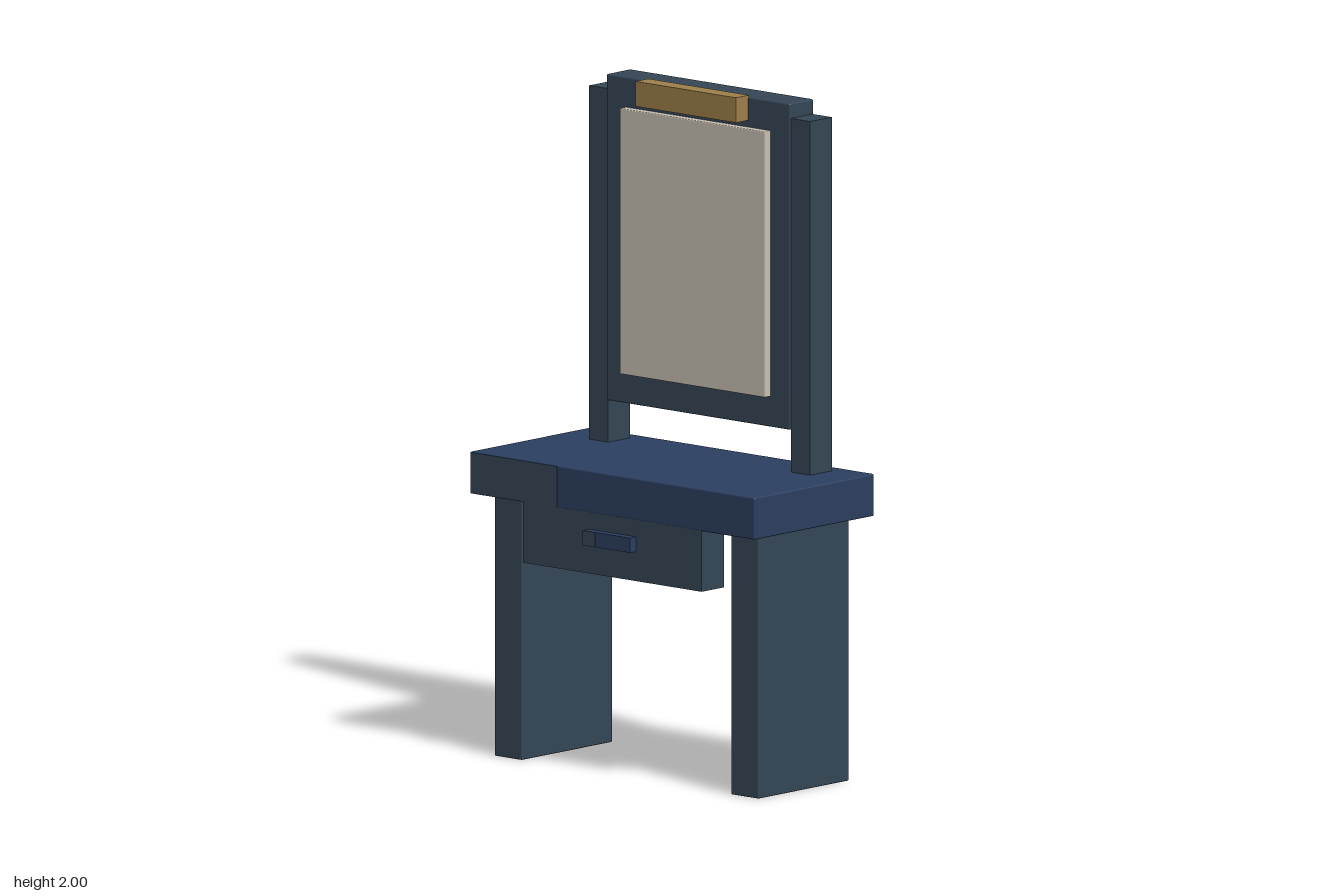
import * as THREE from 'three';
import { RoundedBoxGeometry } from 'three/addons/geometries/RoundedBoxGeometry.js';

function material(name, color) {
  const m = new THREE.MeshStandardMaterial({ color });
  m.name = name;
  return m;
}

export function createModel() {
  const group = new THREE.Group();
  const slate = material('slate', 0x354656);
  const navy = material('navy', 0x2c3f61);
  const cream = material('cream', 0xc9c1b3);
  const gold = material('gold', 0x9f804b);

  // Box given by its limits on each axis, with an optional softened edge
  function box(name, mat, [x0, x1], [y0, y1], [z0, z1], bevel = 0) {
    const size = [x1 - x0, y1 - y0, z1 - z0];
    const geometry = bevel
      ? new RoundedBoxGeometry(...size, 2, bevel)
      : new THREE.BoxGeometry(...size);
    const mesh = new THREE.Mesh(geometry, mat);
    mesh.name = name;
    mesh.position.set((x0 + x1) / 2, (y0 + y1) / 2, (z0 + z1) / 2);
    group.add(mesh);
  }

  // Table top, with the darker section at one end of its front edge
  box('tableTop', navy, [-0.558, 0.556], [0.779, 0.904], [-0.273, 0.248], 0.005);
  box('frontEdgePanel', slate, [-0.556, -0.217], [0.781, 0.902], [0.246, 0.25]);

  // Slab legs and mirror posts on both sides
  for (const [side, s] of [['left', 1], ['right', -1]]) {
    const span = (a, b) => (s > 0 ? [a, b] : [-b, -a]);
    box(side + 'Leg', slate, span(0.41, 0.517), [0, 0.781], [-0.205, 0.188], 0.003);
    box(side + 'Post', slate, span(0.358, 0.433), [0.766, 1.951], [-0.225, -0.13]);
  }

  // Drawer and its handle
  box('drawer', slate, [-0.352, 0.348], [0.6, 0.785], [0.15, 0.247]);
  box('handle', navy, [-0.094, 0.09], [0.687, 0.731], [0.24, 0.273]);
  box('handlePanel', slate, [-0.094, -0.045], [0.688, 0.73], [0.272, 0.275]);

  // Mirror frame, glass and crest
  box('mirrorFrame', slate, [-0.361, 0.358], [1.029, 1.995], [-0.229, -0.125], 0.005);
  box('mirrorGlass', cream, [-0.287, 0.283], [1.119, 1.906], [-0.15, -0.1], 0.003);
  box('crest', gold, [-0.199, 0.195], [1.926, 2], [-0.128, -0.072]);

  return group;
}
